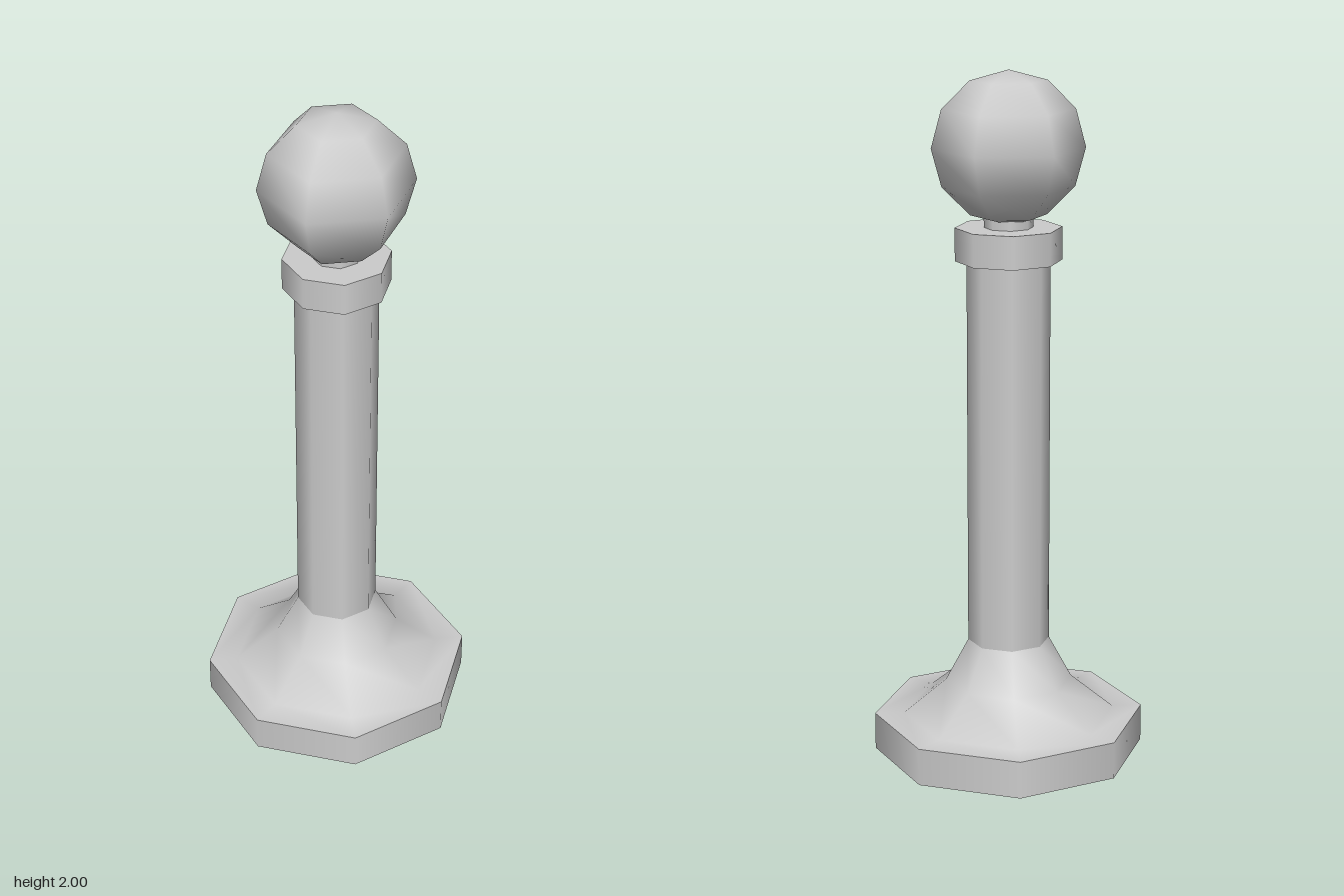
import * as THREE from 'three';

const material = new THREE.MeshStandardMaterial({ color: 0xcccccc });

// Eight-sided turned part; each profile is smooth in itself, with sharp edges between profiles
function turned(name, profiles) {
  const part = new THREE.Group();
  part.name = name;
  for (const profile of profiles) {
    const points = profile.map(([r, y]) => new THREE.Vector2(r, y));
    part.add(new THREE.Mesh(new THREE.LatheGeometry(points, 8), material));
  }
  return part;
}

export function createModel() {
  const model = new THREE.Group();
  model.name = 'post';

  // Octagonal plinth: underside and rim
  model.add(turned('base', [
    [[0, 0], [0.396, 0]],
    [[0.396, 0], [0.396, 0.11]],
  ]));

  // Flared foot running smoothly out to the plinth edge
  model.add(turned('foot', [
    [[0.396, 0.11], [0.31, 0.11], [0.185, 0.212], [0.119, 0.335]],
  ]));

  // Straight shaft
  model.add(turned('shaft', [[[0.119, 0.335], [0.119, 1.465]]]));

  // Collar with flat underside and top
  model.add(turned('collar', [
    [[0.119, 1.465], [0.152, 1.465]],
    [[0.152, 1.465], [0.152, 1.56]],
    [[0.152, 1.56], [0.07, 1.56]],
  ]));

  // Short neck under the ball
  model.add(turned('neck', [[[0.07, 1.56], [0.07, 1.6]]]));

  // Six-sided ball finial
  const ball = new THREE.Mesh(new THREE.SphereGeometry(0.217, 6, 6), material);
  ball.name = 'ball';
  ball.position.y = 1.783;
  model.add(ball);

  return model;
}
